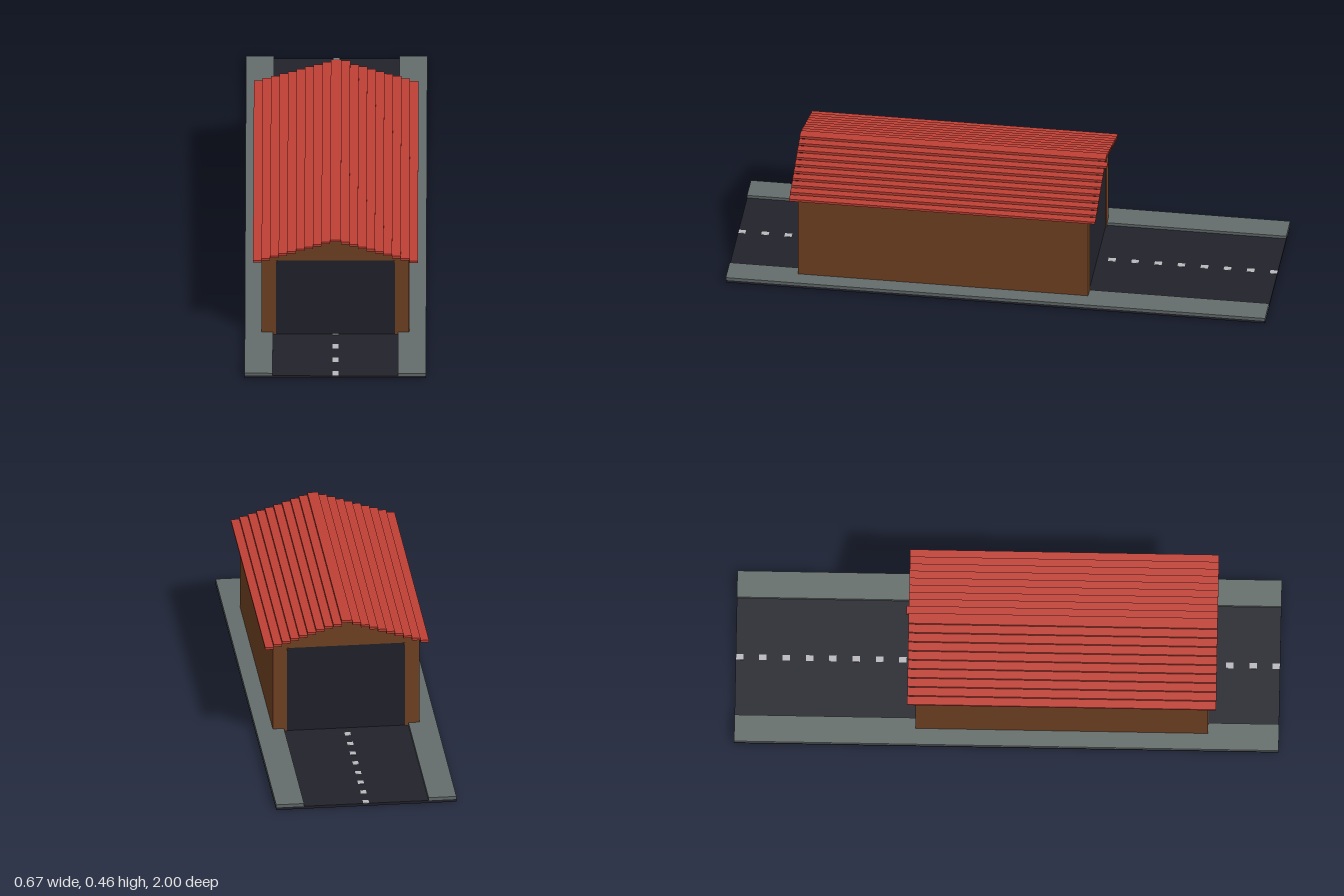
import * as THREE from 'three';

const mat = (name, color) => {
  const m = new THREE.MeshStandardMaterial({ color });
  m.name = name;
  return m;
};

export function createModel() {
  const group = new THREE.Group();
  const brown = mat('brown wall', 0x734323);
  const red = mat('red roof', 0xc04035);
  const asphalt = mat('dark asphalt', 0x22222c);
  const stone = mat('grey pavement', 0x646d6b);
  const paint = mat('pale road paint', 0xb8b8be);

  // Box given by its minimum and maximum corners
  const box = (name, material, x0, x1, y0, y1, z0, z1) => {
    const mesh = new THREE.Mesh(new THREE.BoxGeometry(x1 - x0, y1 - y0, z1 - z0), material);
    mesh.position.set((x0 + x1) / 2, (y0 + y1) / 2, (z0 + z1) / 2);
    mesh.name = name;
    group.add(mesh);
    return mesh;
  };

  const FRONT = 0.74, BACK = -0.335;
  const ROAD_TOP = 0.01, WALL_X = 0.271, DOOR_X = 0.218, DOOR_TOP = 0.345;
  const STEPS = 10, STEP_W = 0.0314, STEP_H = 0.0105, RIDGE_X = 0.02, RIDGE_Y = 0.45;
  const stepX = (i) => RIDGE_X + i * STEP_W;   // outer edge of roof step i
  const stepY = (i) => RIDGE_Y - i * STEP_H;   // underside of roof step i

  // Road bed, raised pavements and dashed centre line
  box('road', asphalt, -0.333, 0.333, 0, ROAD_TOP, -1, 1);
  for (const s of [-1, 1]) {
    const edges = [s * 0.23, s * 0.333].sort((a, b) => a - b);
    box('pavement', stone, edges[0], edges[1], ROAD_TOP, 0.021, -1, 1);
  }
  for (let i = 0; i < 24; i++) {
    const z = -0.986 + i * (1.972 / 23);
    box('roadDash', paint, -0.011, 0.011, 0.001, ROAD_TOP + 0.001, z - 0.0138, z + 0.0138);
  }

  // Walls: stepped gable outline with a doorway, run along the building
  const right = [[DOOR_X, ROAD_TOP], [WALL_X, ROAD_TOP], [WALL_X, stepY(8)]];
  for (let i = 7; i >= 0; i--) right.push([stepX(i), stepY(i + 1)], [stepX(i), stepY(i)]);
  const left = right.map(([x, y]) => [-x, y]).reverse();
  const outline = [...right, ...left, [-DOOR_X, DOOR_TOP], [DOOR_X, DOOR_TOP]];
  const shape = new THREE.Shape(outline.map(([x, y]) => new THREE.Vector2(x, y)));
  const walls = new THREE.Mesh(
    new THREE.ExtrudeGeometry(shape, { depth: FRONT - BACK, bevelEnabled: false }), brown);
  walls.position.z = BACK;
  walls.name = 'walls';
  group.add(walls);

  // Doors at both ends with small corner brackets
  for (const [z, dir] of [[FRONT, -1], [BACK, 1]]) {
    const inner = z + dir * 0.008;
    box('door', asphalt, -DOOR_X, DOOR_X, ROAD_TOP, DOOR_TOP, inner - 0.004, inner + 0.004);
    for (const s of [-1, 1]) {
      const x = s * (DOOR_X - 0.003);
      box('doorCorner', brown, x - 0.003, x + 0.003, 0.337, DOOR_TOP, z - 0.004, z + 0.004);
    }
  }

  // Roof: overlapping-style stepped slabs on each side of the ridge
  const slab = (x0, x1, y, back) => box('roofSlab', red, x0, x1, y, y + 0.0095, back, 0.77);
  slab(-RIDGE_X, RIDGE_X, RIDGE_Y, -0.365);
  for (let i = 1; i < STEPS; i++) {
    slab(stepX(i - 1), stepX(i), stepY(i), i === 1 ? -0.374 : -0.365);
    slab(-stepX(i), -stepX(i - 1), stepY(i), -0.365);
  }

  return group;
}
